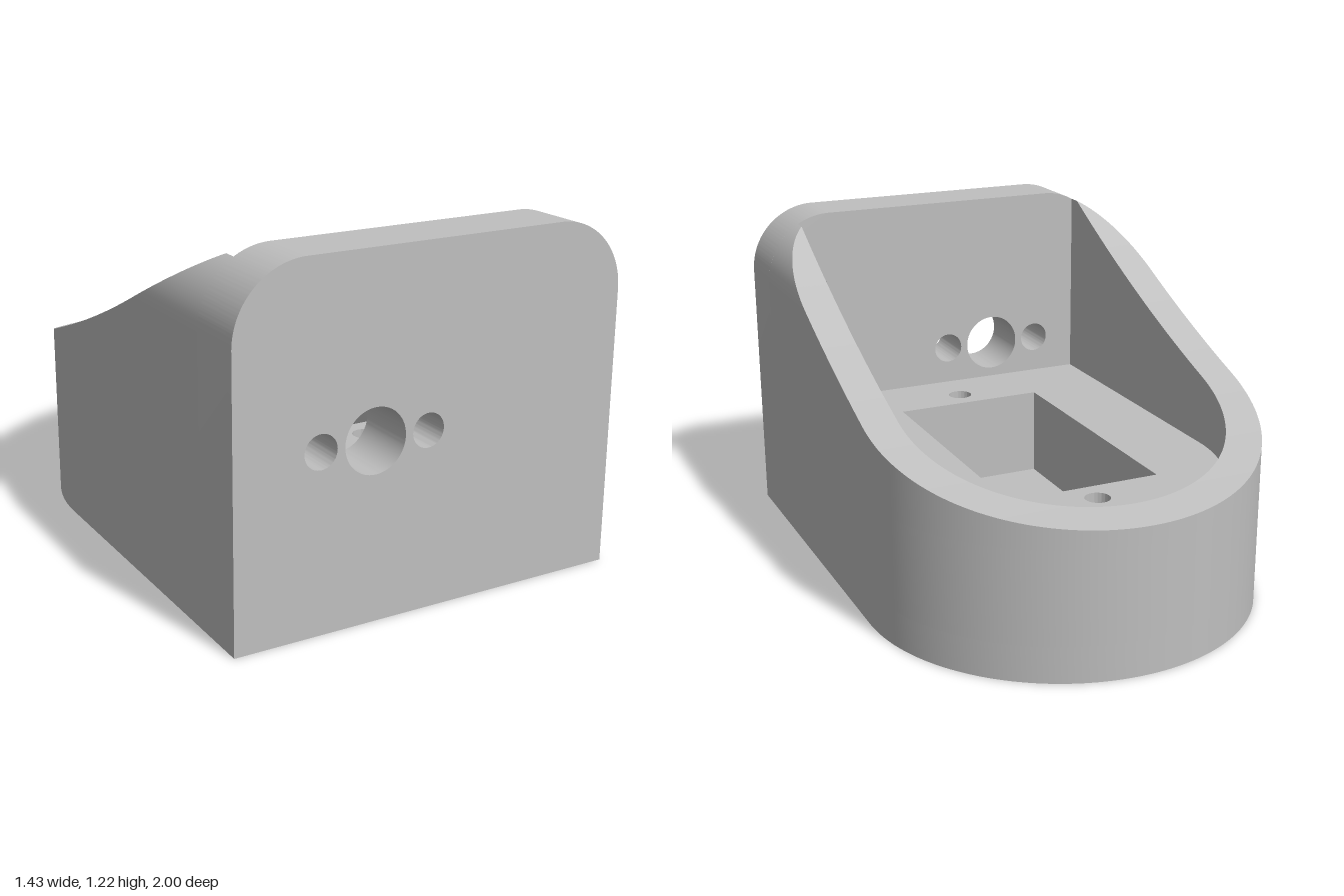
import * as THREE from 'three';
import { toCreasedNormals } from 'three/addons/utils/BufferGeometryUtils.js';
import { ParametricGeometry } from 'three/addons/geometries/ParametricGeometry.js';

const OUT = 0.715, INN = 0.59;        // outer and inner half widths, also the arc radii
const ARC_Z = -0.285, WALL_Z = 0.78;  // centre of the rounded end, inner face of the front wall
const BASE = 0.13, FLOOR = 0.465;     // top of the base plate and of the cavity floor
const TOP = 1.22, R = 0.25;           // front wall height and its corner radius

// Concave slope of the rim: height at z, and z at a height
const slope = z => 0.83 + 0.41 * z + 0.105 * z * z;
const slopeZ = y => (-0.41 + Math.sqrt(0.1681 - 0.42 * (0.83 - y))) / 0.21;

// Rounded shoulder: angle 0 is the outer side, A_MAX the inner side
const A_MAX = Math.acos((INN - OUT + R) / R);
const shoulderX = a => OUT - R + R * Math.cos(a);
const shoulderY = a => TOP - R + R * Math.sin(a);

const lerp = THREE.MathUtils.lerp;

function circle(x, y, r) {
  return new THREE.Path().absarc(x, y, r, 0, Math.PI * 2, true);
}

function rect(x0, y0, x1, y1) {
  return new THREE.Path().moveTo(x0, y0).lineTo(x0, y1).lineTo(x1, y1).lineTo(x1, y0).closePath();
}

function extrude(shape, holes, depth) {
  shape.holes.push(...holes);
  const g = new THREE.ExtrudeGeometry(shape, { depth, bevelEnabled: false, curveSegments: 48 });
  return toCreasedNormals(g, 0.5);
}

// Horizontal slab with the housing footprint (shape y is -z)
function slab(holes, y0, y1) {
  const s = new THREE.Shape();
  s.moveTo(-OUT, -WALL_Z);
  s.lineTo(OUT, -WALL_Z);
  s.lineTo(OUT, -ARC_Z);
  s.absarc(0, -ARC_Z, OUT, 0, Math.PI, false);
  s.closePath();
  return extrude(s, holes, y1 - y0).rotateX(-Math.PI / 2).translate(0, y0, 0);
}

export function createModel() {
  const model = new THREE.Group();
  model.name = 'housing';
  const grey = new THREE.MeshStandardMaterial({ color: 0xbfbfbf, side: THREE.DoubleSide });
  grey.name = 'grey';

  const add = (name, geometry) => {
    const mesh = new THREE.Mesh(geometry, grey);
    mesh.name = name;
    model.add(mesh);
  };
  // Curved sheet from a rule point(u, v); flip turns its front round
  const sheet = (name, point, flip, nu = 32, nv = 12) => add(name, new ParametricGeometry(
    (u, v, target) => target.set(...point(flip ? 1 - u : u, v)), nu, nv));

  // Front wall with rounded top corners and three cable holes
  const front = new THREE.Shape();
  front.moveTo(-OUT, 0);
  front.lineTo(OUT, 0);
  front.lineTo(OUT, TOP - R);
  front.absarc(OUT - R, TOP - R, R, 0, Math.PI / 2, false);
  front.lineTo(R - OUT, TOP);
  front.absarc(R - OUT, TOP - R, R, Math.PI / 2, Math.PI, false);
  front.closePath();
  const cableHoles = [circle(-0.22, 0.61, 0.11), circle(-0.415, 0.61, 0.058), circle(-0.025, 0.61, 0.058)];
  add('frontWall', extrude(front, cableHoles, 1 - WALL_Z).translate(0, 0, WALL_Z));

  // Base plate with the round opening, then the floor with pocket and blind screw holes
  add('basePlate', slab([circle(0, 0.22, 0.285)], 0, BASE));
  add('cavityFloor', slab(
    [rect(-0.285, -0.5, 0.285, 0.5), circle(0, 0.6, 0.045), circle(0, -0.6, 0.045)], BASE, FLOOR));

  // Straight side walls, mirrored
  for (const s of [1, -1]) {
    const side = s > 0 ? 'left' : 'right';
    // Upright face that follows the slope, then stays level at yMax
    const upright = (x, yMax) => (u, v) => {
      const bend = slopeZ(yMax);
      const z = u < 0.5 ? lerp(ARC_Z, bend, u * 2) : lerp(bend, WALL_Z, u * 2 - 1);
      return [s * x, lerp(FLOOR, Math.min(slope(z), yMax), v), z];
    };
    sheet(side + 'OuterWall', upright(OUT, TOP - R), s > 0, 48, 2);
    sheet(side + 'InnerWall', upright(INN, shoulderY(A_MAX)), s < 0, 48, 2);
    sheet(side + 'Shoulder', (u, v) => {
      const a = v * A_MAX, y = shoulderY(a);
      return [s * shoulderX(a), y, lerp(slopeZ(y), WALL_Z, u)];
    }, s > 0, 4, 16);
    sheet(side + 'Rim', (u, v) => {
      const a = v * A_MAX, z = lerp(ARC_Z, slopeZ(shoulderY(a)), u);
      return [s * shoulderX(a), slope(z), z];
    }, s > 0, 32, 16);
  }

  // Rounded end: outer wall, inner wall and rim
  const arcWall = r => (u, v) => {
    const z = ARC_Z - r * Math.sin(u * Math.PI);
    return [r * Math.cos(u * Math.PI), lerp(FLOOR, slope(z), v), z];
  };
  sheet('endOuterWall', arcWall(OUT), false, 96, 2);
  sheet('endInnerWall', arcWall(INN), true, 96, 2);
  sheet('endRim', (u, v) => {
    const r = shoulderX(v * A_MAX), z = ARC_Z - r * Math.sin(u * Math.PI);
    return [r * Math.cos(u * Math.PI), slope(z), z];
  }, false, 96, 16);

  return model;
}
